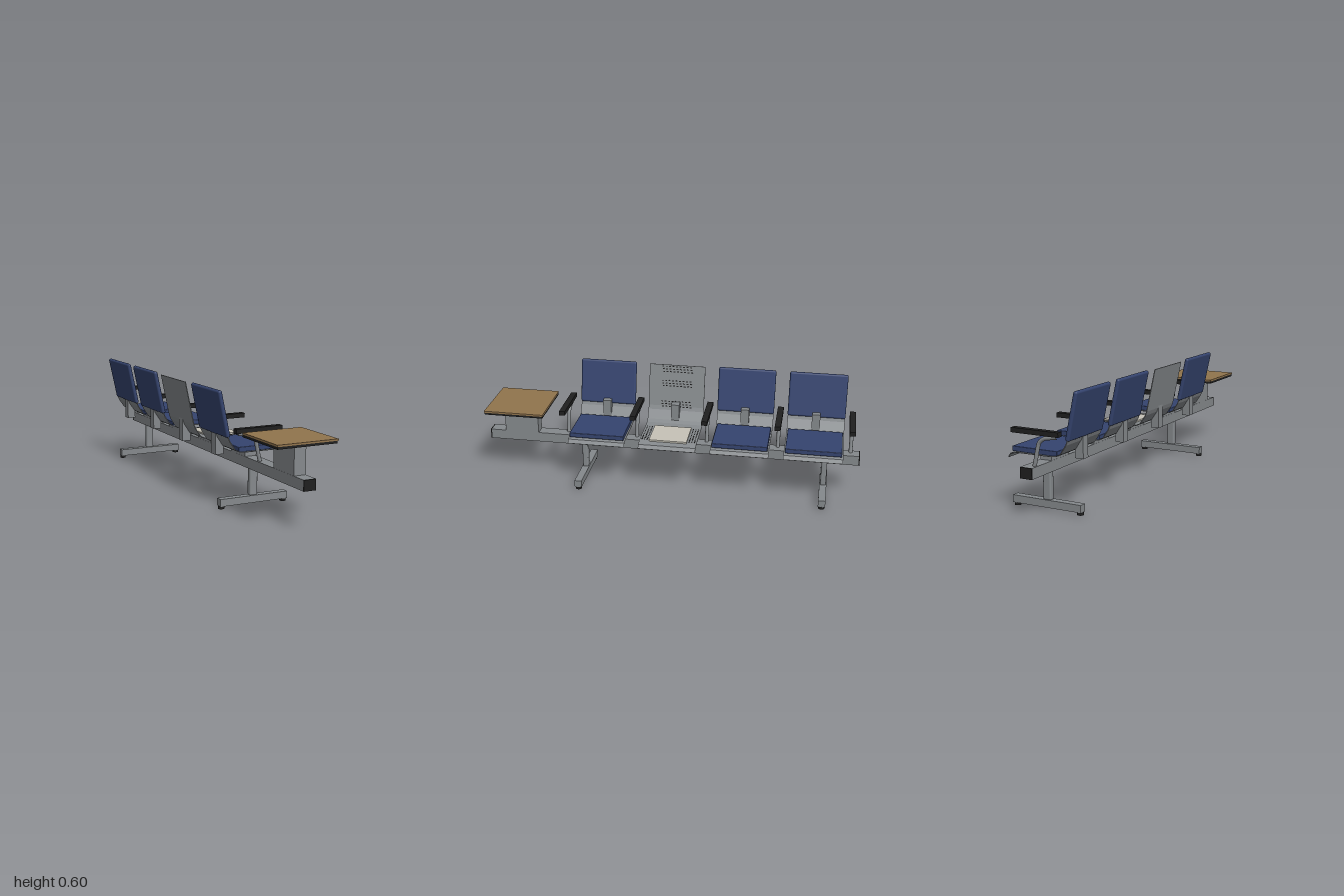
import * as THREE from 'three';
import { mergeGeometries } from 'three/addons/utils/BufferGeometryUtils.js';
import { RoundedBoxGeometry } from 'three/addons/geometries/RoundedBoxGeometry.js';

const material = (name, color) => {
  const m = new THREE.MeshStandardMaterial({ color });
  m.name = name;
  return m;
};

export function createModel() {
  const steel = material('steel grey', 0x85898c);
  const blue = material('blue upholstery', 0x35446f);
  const black = material('black plastic', 0x1f1f1f);
  const wood = material('wood brown', 0x91744d);
  const cream = material('cream panel', 0xc6c2b7);

  const model = new THREE.Group();
  model.name = 'beamSeating';

  const add = (parent, name, geometry, mat, x = 0, y = 0, z = 0) => {
    const mesh = new THREE.Mesh(geometry, mat);
    mesh.name = name;
    mesh.position.set(x, y, z);
    parent.add(mesh);
    return mesh;
  };
  // Box given by its x, y and z limits
  const box = (parent, name, mat, [x0, x1], [y0, y1], [z0, z1]) =>
    add(parent, name, new THREE.BoxGeometry(x1 - x0, y1 - y0, z1 - z0), mat,
      (x0 + x1) / 2, (y0 + y1) / 2, (z0 + z1) / 2);
  const group = (name, z = 0) => {
    const g = new THREE.Group();
    g.name = name;
    g.position.z = z;
    model.add(g);
    return g;
  };

  // Long beam with end caps
  const beamX = [-0.019, 0.045];
  box(model, 'beam', steel, beamX, [0.19, 0.243], [-0.994, 0.994]);
  box(model, 'beamCapLeft', black, beamX, [0.19, 0.243], [0.994, 1]);
  box(model, 'beamCapRight', black, beamX, [0.19, 0.243], [-1, -0.994]);

  // Two T-shaped legs
  for (const z of [0.475, -0.82]) {
    const leg = group('leg', z);
    add(leg, 'post', new RoundedBoxGeometry(0.044, 0.142, 0.03, 3, 0.008), steel, 0.013, 0.12, 0);
    box(leg, 'footBar', steel, [-0.175, 0.203], [0.014, 0.051], [-0.019, 0.019]);
    for (const x of [-0.163, 0.188])
      add(leg, 'footPad', new THREE.CylinderGeometry(0.016, 0.016, 0.014, 20), black, x, 0.007, 0);
  }

  // Side table on a wide pedestal
  const table = group('sideTable', 0.82);
  box(table, 'pedestal', steel, [-0.018, 0.045], [0.243, 0.38], [-0.0925, 0.0925]);
  box(table, 'spacer', black, [0, 0.027], [0.38, 0.391], [-0.05, 0.05]);
  box(table, 'tableBase', black, [-0.147, 0.171], [0.39, 0.402], [-0.158, 0.158]);
  box(table, 'tableTop', wood, [-0.147, 0.175], [0.402, 0.411], [-0.16, 0.16]);

  // Armrests on bent tubes
  const armCurve = new THREE.CatmullRomCurve3([
    [-0.125, 0.388], [-0.09, 0.382], [-0.055, 0.374], [-0.03, 0.355],
    [-0.019, 0.322], [-0.009, 0.275], [0.0, 0.238],
  ].map(([x, y]) => new THREE.Vector3(x, y, 0)));
  const armTube = new THREE.TubeGeometry(armCurve, 28, 0.01, 10);
  for (const z of [-0.95, -0.57, -0.19, 0.19, 0.57]) {
    const arm = group('armrest', z);
    add(arm, 'armTube', armTube, steel);
    box(arm, 'armPad', black, [-0.139, 0.115], [0.39, 0.413], [-0.0155, 0.0155]);
  }

  // Bent sheet shell: profile thickened along its normals, extruded across the seat
  const profile = [
    [-0.198, 0.59], [-0.151, 0.367], [-0.143, 0.346], [-0.113, 0.301], [-0.092, 0.29],
    [-0.06, 0.286], [0.12, 0.285], [0.16, 0.276], [0.172, 0.257],
  ].map(([x, y]) => new THREE.Vector2(x, y));
  const under = profile.map((p, i) => {
    const a = profile[Math.max(i - 1, 0)];
    const b = profile[Math.min(i + 1, profile.length - 1)];
    const d = b.clone().sub(a).normalize();
    return new THREE.Vector2(p.x + d.y * 0.004, p.y - d.x * 0.004);
  });
  const shellGeometry = new THREE.ExtrudeGeometry(
    new THREE.Shape([...profile, ...under.reverse()]), { depth: 0.304, bevelEnabled: false });
  shellGeometry.translate(0, 0, -0.152);

  const backTilt = Math.atan2(0.047, 0.223);
  const backCushion = new RoundedBoxGeometry(0.022, 0.238, 0.307, 3, 0.01);
  const seatCushion = new RoundedBoxGeometry(0.246, 0.025, 0.29, 2, 0.003);

  // Dark perforations lying on the bare shell
  const perforations = () => {
    const parts = [];
    for (const bandY of [0.567, 0.49, 0.378])
      for (let row = -1; row <= 1; row++)
        for (let i = -4; i <= 4; i++) {
          const y = bandY + row * 0.014;
          const x = -0.151 - (y - 0.367) * 0.047 / 0.223;
          const g = new THREE.BoxGeometry(0.002, 0.005, 0.01);
          parts.push(g.rotateZ(backTilt).translate(x, y, i * 0.019 + row * 0.003));
        }
    for (const side of [-1, 1])
      for (let row = 0; row < 3; row++)
        for (let i = 0; i < 9; i++) {
          const g = new THREE.BoxGeometry(0.01, 0.002, 0.005);
          parts.push(g.translate(-0.045 + i * 0.019 + (row % 2) * 0.006, 0.2858,
            side * (0.112 + row * 0.014)));
        }
    return mergeGeometries(parts);
  };

  // Four seats, one of them left without upholstery
  for (const z of [0.378, 0, -0.38, -0.76]) {
    const seat = group('seat', z);
    add(seat, 'shell', shellGeometry, steel);
    box(seat, 'backBracket', steel, [-0.157, -0.112], [0.255, 0.391], [-0.022, 0.022]);
    box(seat, 'seatMount', steel, [-0.018, 0.045], [0.243, 0.283], [-0.075, 0.075]);
    if (z === 0) {
      box(seat, 'seatPanel', cream, [-0.05, 0.13], [0.284, 0.293], [-0.1, 0.1]);
      add(seat, 'perforations', perforations(), black);
    } else {
      add(seat, 'backCushion', backCushion, blue, -0.174, 0.479, 0).rotation.z = backTilt;
      add(seat, 'seatCushion', seatCushion, blue, 0.03, 0.2975, 0);
    }
  }
  return model;
}
